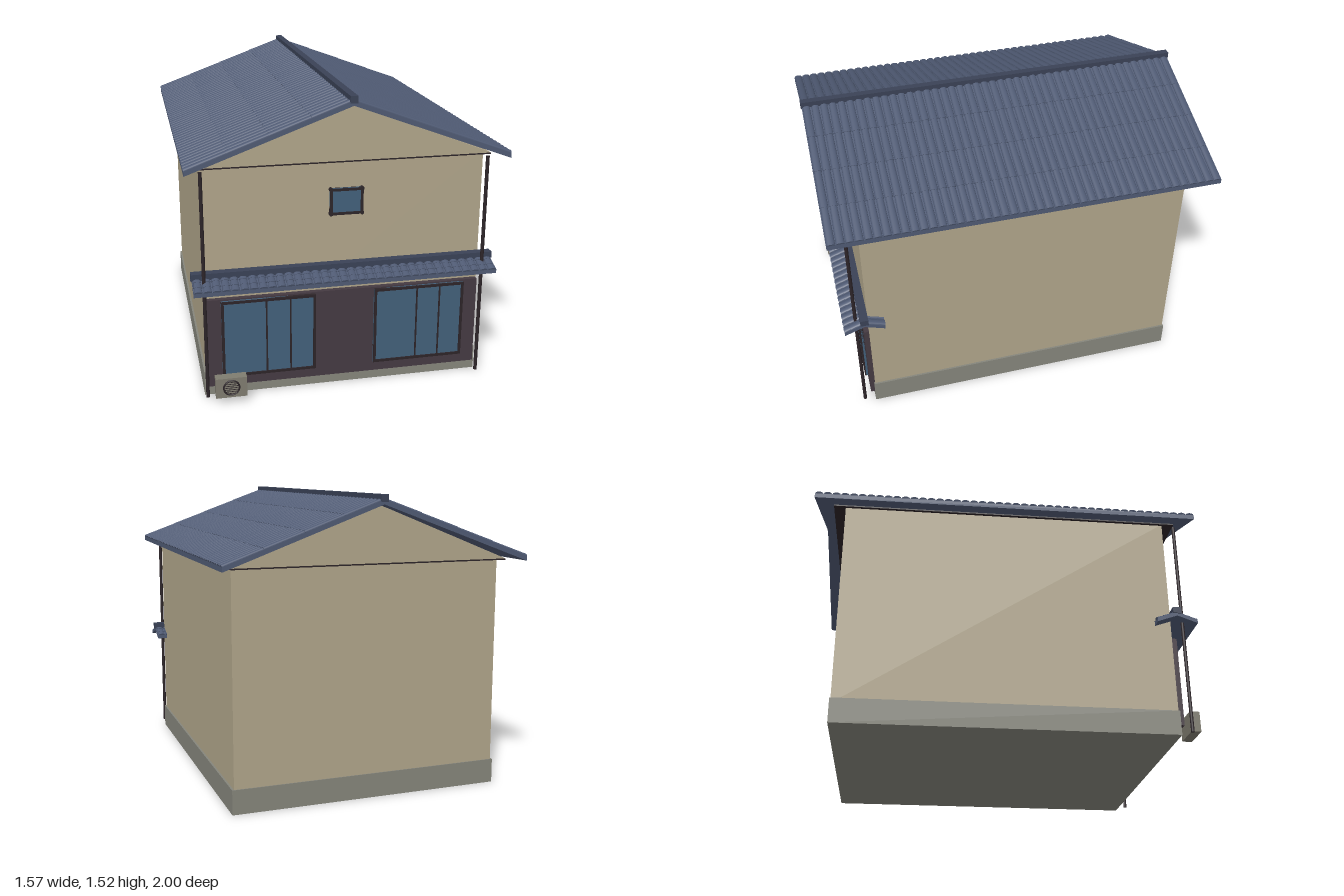
import * as THREE from 'three';
import { mergeGeometries } from 'three/addons/utils/BufferGeometryUtils.js';

const mat = (color) => new THREE.MeshStandardMaterial({ color });
const WALL = mat(0xb0a58a), STONE = mat(0x85857b), TILE = mat(0x4f5a73), RIDGE = mat(0x3a4256);
const DARK = mat(0x2c2428), PANEL = mat(0x453a42), GLASS = mat(0x42607a), UNIT = mat(0x7f7c70);

function add(parent, name, geometry, material, x = 0, y = 0, z = 0) {
  const mesh = new THREE.Mesh(geometry, material);
  mesh.name = name;
  mesh.position.set(x, y, z);
  parent.add(mesh);
  return mesh;
}

// Box given by its extents on each axis
function box(parent, name, material, x0, x1, y0, y1, z0, z1) {
  return add(parent, name, new THREE.BoxGeometry(x1 - x0, y1 - y0, z1 - z0), material,
    (x0 + x1) / 2, (y0 + y1) / 2, (z0 + z1) / 2);
}

// Solid polygon in the x-y plane, centred along z
function prism(points, depth) {
  const shape = new THREE.Shape(points.map(([x, y]) => new THREE.Vector2(x, y)));
  return new THREE.ExtrudeGeometry(shape, { depth, bevelEnabled: false }).translate(0, 0, -depth / 2);
}

// Gabled roof with its ridge along z: slab, rows of half-round tiles and ridge cap
function tiledRoof(name, { half, low, high, thick, length, ribs, rows, capW, capLow, capHigh }) {
  const roof = new THREE.Group();
  roof.name = name;
  add(roof, 'roofSlab', prism([[-half, low], [0, high], [half, low],
    [half, low + thick], [0, high + thick], [-half, low + thick]], length - 0.01), TILE);

  const slope = Math.atan2(high - low, half);
  const run = Math.hypot(half, high - low) / rows;
  const pitch = (length - 0.01) / ribs;
  const tiles = [];
  for (let row = 0; row < rows; row++) {
    const t = (row + 0.5) / rows;
    for (let i = 0; i < ribs; i++) {
      const tile = new THREE.CylinderGeometry(pitch * 0.39, pitch * 0.47, run, 6, 1, false, 0, Math.PI)
        .scale(0.5, 1, 1)
        .rotateZ(Math.PI / 2 - slope)
        .translate(half * t, high + thick - (high - low) * t, (i + 0.5 - ribs / 2) * pitch);
      tiles.push(tile, tile.clone().rotateY(Math.PI));
    }
  }
  add(roof, 'roofTiles', mergeGeometries(tiles), TILE);
  box(roof, 'ridgeCap', RIDGE, -capW / 2, capW / 2, capLow, capHigh, -length / 2, length / 2);
  return roof;
}

// Framed window; bars are x positions of uprights relative to the centre
function framedWindow(name, w, h, bars, thick, depth) {
  const win = new THREE.Group();
  win.name = name;
  box(win, 'glass', GLASS, -w / 2, w / 2, -h / 2, h / 2, -depth / 4, depth / 4);
  for (const s of [-1, 1]) {
    add(win, 'frameSide', new THREE.BoxGeometry(thick, h, depth), DARK, s * (w - thick) / 2, 0, 0);
    add(win, 'frameRail', new THREE.BoxGeometry(w, thick, depth), DARK, 0, s * (h - thick) / 2, 0);
  }
  for (const x of bars) add(win, 'mullion', new THREE.BoxGeometry(0.008, h, depth * 0.8), DARK, x, 0, 0);
  return win;
}

function airUnit() {
  const unit = new THREE.Group();
  unit.name = 'airConditioner';
  box(unit, 'casing', UNIT, -0.077, 0.077, -0.052, 0.052, -0.025, 0.025);
  add(unit, 'fanRing', new THREE.TorusGeometry(0.039, 0.004, 6, 24), DARK, 0, 0, 0.025);
  for (let i = -3; i <= 3; i++) {
    const y = i * 0.01, w = 2 * Math.sqrt(0.038 ** 2 - y * y);
    add(unit, 'fanSlat', new THREE.BoxGeometry(w, 0.002, 0.004), DARK, 0, y, 0.026);
  }
  return unit;
}

export function createModel() {
  const house = new THREE.Group();
  house.name = 'house';

  // Body
  box(house, 'foundation', STONE, -0.71, 0.71, 0, 0.125, -0.845, 0.845);
  box(house, 'walls', WALL, -0.7, 0.7, 0.1, 1.195, -0.84, 0.84);
  add(house, 'gable', prism([[-0.715, 1.195], [0.715, 1.195], [0, 1.48]], 1.8), WALL);
  box(house, 'gableSoffit', DARK, -0.715, 0.715, 1.188, 1.195, -0.9, 0.9);

  // Main roof
  house.add(tiledRoof('mainRoof', {
    half: 0.78, low: 1.19, high: 1.478, thick: 0.024, length: 2,
    ribs: 45, rows: 4, capW: 0.036, capLow: 1.49, capHigh: 1.525,
  }));

  // Small roof over the ground floor front
  const canopy = tiledRoof('canopy', {
    half: 0.103, low: 0.585, high: 0.622, thick: 0.02, length: 1.52,
    ribs: 34, rows: 3, capW: 0.042, capLow: 0.635, capHigh: 0.668,
  });
  canopy.rotation.y = Math.PI / 2;
  canopy.position.z = 0.862;
  house.add(canopy);

  // Ground floor front with sliding windows
  box(house, 'frontPanel', PANEL, -0.695, 0.695, 0.055, 0.52, 0.835, 0.866);
  for (const s of [-1, 1]) {
    const win = framedWindow(s < 0 ? 'rightWindow' : 'leftWindow', 0.47, 0.405, [-0.012, 0.108], 0.013, 0.024);
    win.position.set(s * 0.385, 0.31, 0.871);
    house.add(win);
    add(house, 'drainpipe', new THREE.CylinderGeometry(0.009, 0.009, 1.16, 10), DARK, s * 0.7, 0.6, 0.902);
  }

  // Upper window with corner blocks
  const upper = framedWindow('upperWindow', 0.165, 0.133, [], 0.013, 0.02);
  upper.position.set(0, 0.987, 0.875);
  for (const x of [-1, 1]) for (const y of [-1, 1])
    add(upper, 'cornerBlock', new THREE.CylinderGeometry(0.01, 0.01, 0.022, 10).rotateX(Math.PI / 2), DARK, x * 0.077, y * 0.061, 0);
  house.add(upper);

  const unit = airUnit();
  unit.position.set(-0.588, 0.088, 0.932);
  house.add(unit);

  return house;
}
